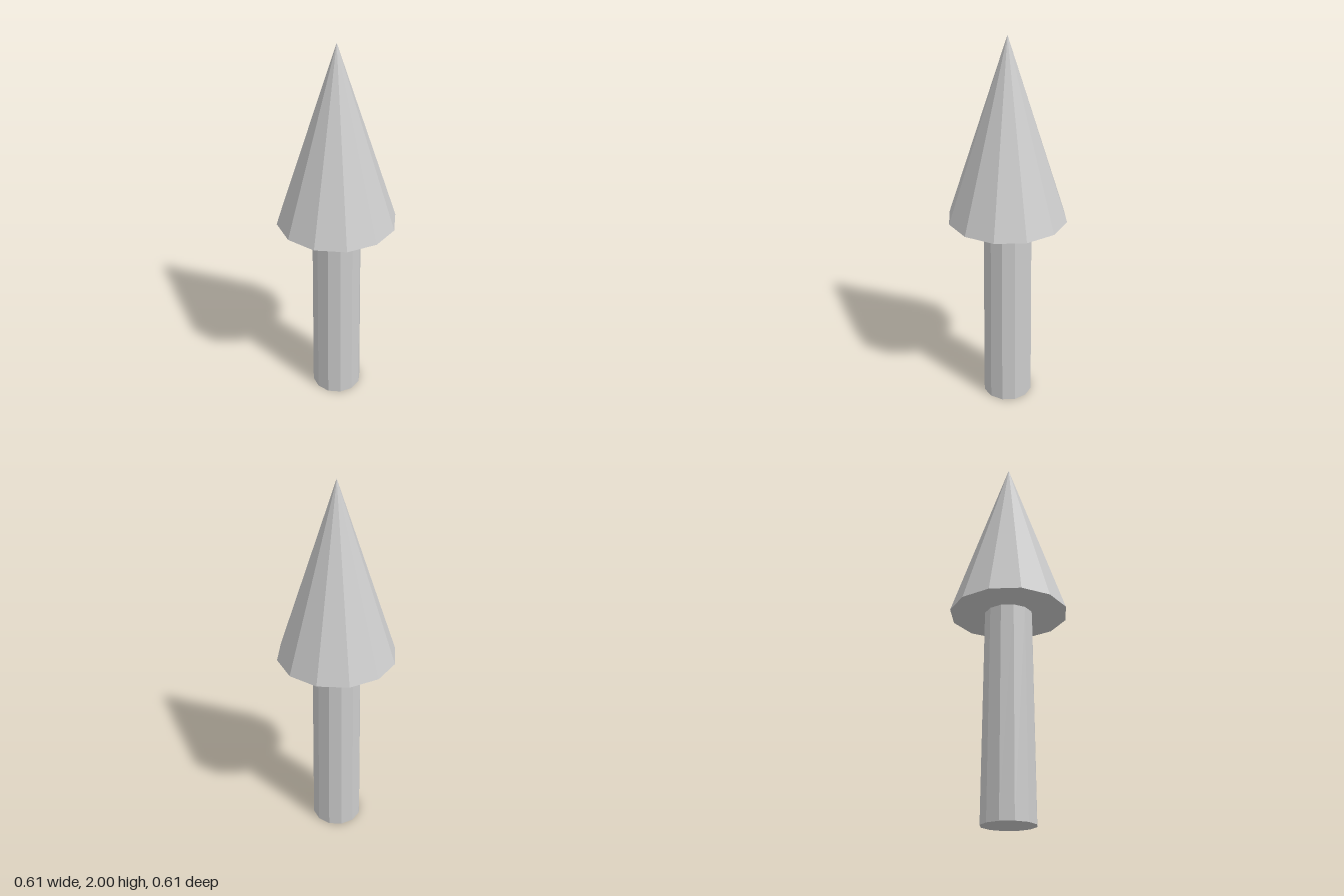
import * as THREE from 'three';

const SIDES = 12;
const BASE_Y = 1.08; // underside of the cone, top of the shaft

export function createModel() {
  const group = new THREE.Group();
  const material = new THREE.MeshStandardMaterial({ color: 0xcccccc, flatShading: true });

  const add = (name, geometry, y) => {
    const mesh = new THREE.Mesh(geometry, material);
    mesh.name = name;
    mesh.position.y = y;
    group.add(mesh);
  };

  // Slightly tapered shaft
  add('shaft', new THREE.CylinderGeometry(0.125, 0.136, BASE_Y, SIDES), BASE_Y / 2);

  // Pointed tip with a flat underside
  add('coneTip', new THREE.ConeGeometry(0.307, 2 - BASE_Y, SIDES), (2 + BASE_Y) / 2);

  return group;
}
